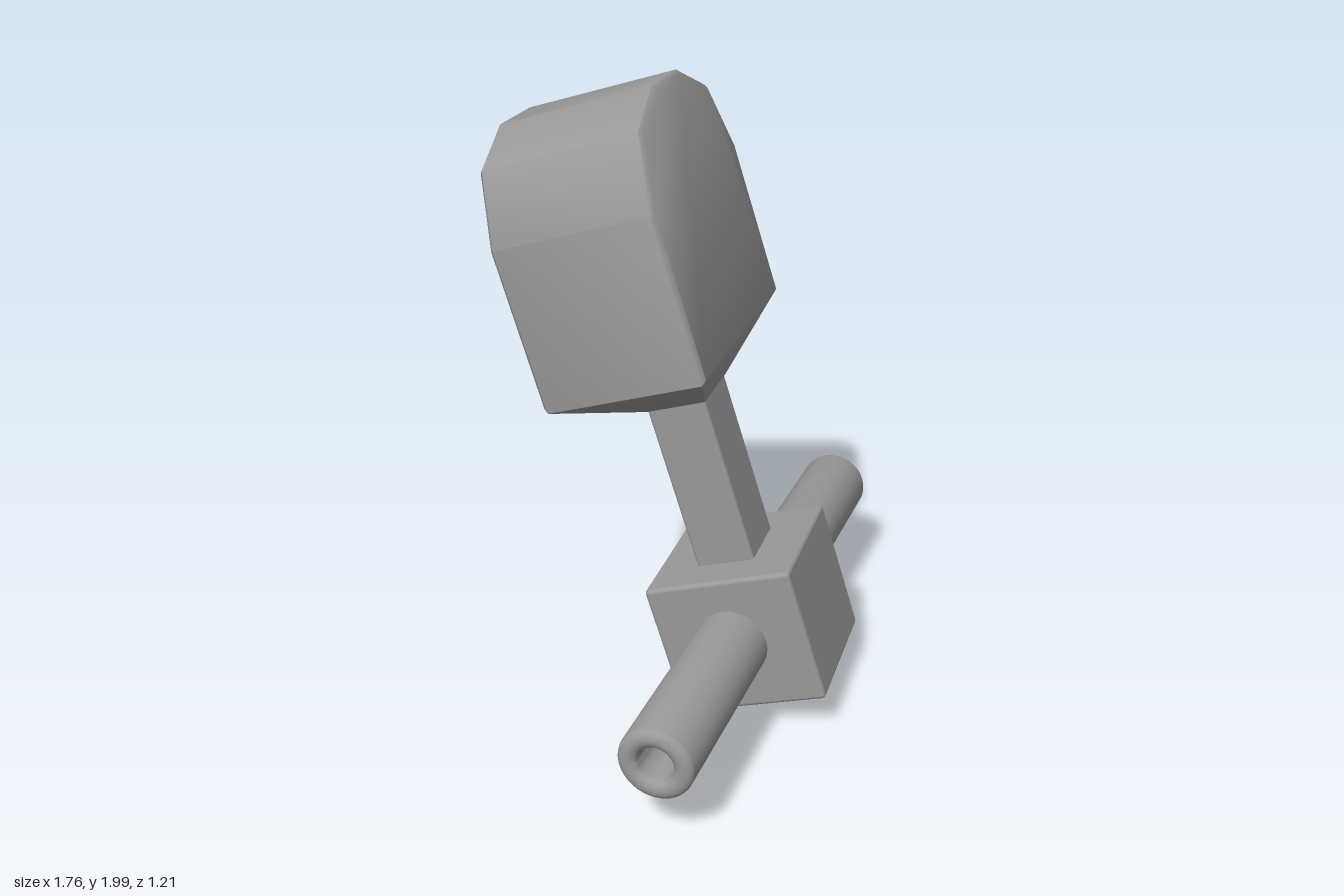
import * as THREE from 'three';
import { toCreasedNormals } from 'three/addons/utils/BufferGeometryUtils.js';
import { RoundedBoxGeometry } from 'three/addons/geometries/RoundedBoxGeometry.js';
import { ConvexGeometry } from 'three/addons/geometries/ConvexGeometry.js';

const CENTRE_X = -0.016; // the lever's middle lies slightly off the rod's middle

export function createModel() {
  const grey = new THREE.MeshStandardMaterial({ color: 0x999999 });
  grey.name = 'plain grey';

  const model = new THREE.Group();
  model.name = 'toggleLever';

  // Everything shares one pose: turned to its left and tilted backwards
  const lever = new THREE.Group();
  lever.name = 'lever';
  lever.rotation.set(THREE.MathUtils.degToRad(-17), THREE.MathUtils.degToRad(24), 0, 'YXZ');
  lever.position.set(0, 0.303, 0.192);
  model.add(lever);

  function add(name, geometry, x = 0, y = 0, z = 0) {
    const mesh = new THREE.Mesh(geometry, grey);
    mesh.name = name;
    mesh.position.set(x, y, z);
    lever.add(mesh);
    return mesh;
  }

  // Hub block and neck
  add('hub', new RoundedBoxGeometry(0.478, 0.446, 0.482, 3, 0.014), CENTRE_X, -0.006, -0.01);
  add('neck', new RoundedBoxGeometry(0.222, 0.62, 0.192, 3, 0.012), CENTRE_X, 0.47, -0.012);

  // Paddle head: arched prism with softened rims and a funnel down to the neck
  const halfArch = [[0.409, 0.908], [0.405, 1.408], [0.312, 1.623], [0.112, 1.711]];
  const points = [];
  const bevel = 0.012;
  for (const [z, inset] of [[0.228, bevel], [0.228 - bevel, 0], [-0.285 + bevel, 0], [-0.285, bevel]]) {
    for (const [x, y] of halfArch) {
      const py = 1.31 + (y - 1.31) * (1 - inset / 0.4);
      for (const side of [-1, 1]) points.push(new THREE.Vector3(side * (x - inset), py, z));
    }
  }
  for (const x of [-0.111, 0.111]) {
    for (const z of [-0.108, 0.084]) points.push(new THREE.Vector3(x, 0.757, z));
  }
  add('paddleHead', toCreasedNormals(new ConvexGeometry(points), 0.8), CENTRE_X);

  // Pivot rod: rounded rims around a blind hole at each end
  const half = 0.902, hole = 0.055, rim = 0.03, rimLength = 0.022, depth = 0.16;
  const end = [[0, half - depth], [hole, half - depth]];
  for (let i = 0; i <= 8; i++) {
    const a = Math.PI * (1 - i / 8);
    end.push([hole + rim + rim * Math.cos(a), half - rimLength + rimLength * Math.sin(a)]);
  }
  const profile = [
    ...end.map(([r, y]) => new THREE.Vector2(r, -y)),
    ...end.slice().reverse().map(([r, y]) => new THREE.Vector2(r, y)),
  ];
  const rodGeometry = toCreasedNormals(new THREE.LatheGeometry(profile, 48), 0.8);
  rodGeometry.rotateZ(-Math.PI / 2);
  const rod = add('pivotRod', rodGeometry);
  rod.rotation.y = -0.069;

  return model;
}
